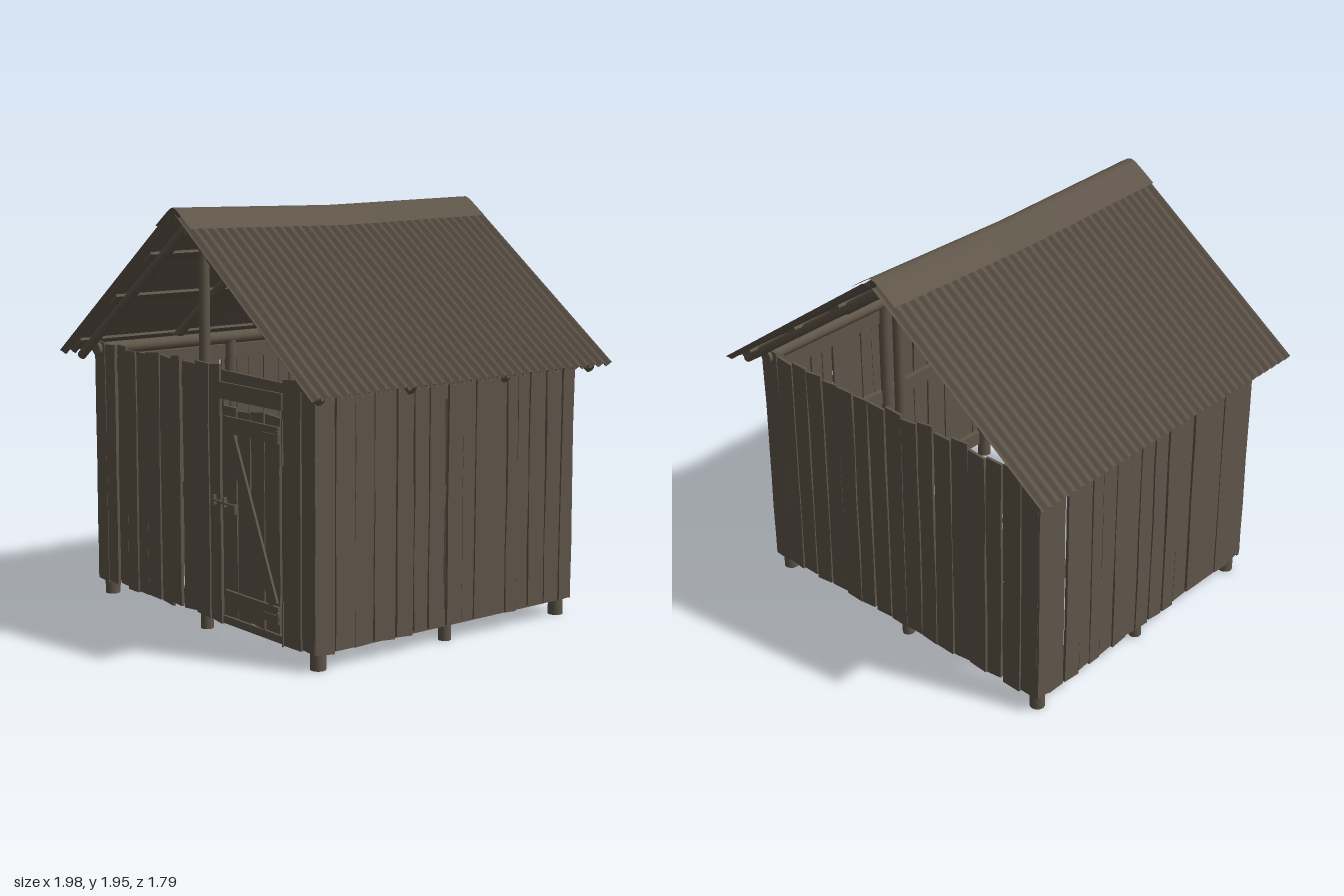
import * as THREE from 'three';

const wood = new THREE.MeshStandardMaterial({ color: 0x5f5549 });
wood.name = 'weathered wood';
const sheet = new THREE.MeshStandardMaterial({ color: 0x5f5549, side: THREE.DoubleSide });
sheet.name = 'weathered sheet metal';

let seed = 7;
const rand = (a) => {
  seed = (seed * 16807) % 2147483647;
  return (seed / 2147483647 * 2 - 1) * a;
};

function add(parent, name, geo, mat = wood) {
  const m = new THREE.Mesh(geo, mat);
  m.name = name;
  parent.add(m);
  return m;
}

function box(parent, name, w, h, d, x, y, z, rz = 0) {
  const m = add(parent, name, new THREE.BoxGeometry(w, h, d));
  m.position.set(x, y, z);
  m.rotation.z = rz;
  return m;
}

// Upright plank between x0 and x1 with slightly wavy edges and slanted ends
function plank(parent, name, x0, x1, y0, y1, z, thick = 0.014) {
  const w = x1 - x0, h = y1 - y0;
  const geo = new THREE.BoxGeometry(w, h, thick, 1, 4, 1);
  const p = geo.attributes.position;
  const slantTop = rand(0.006), slantLow = rand(0.006);
  const wave = [0, 1, 2, 3, 4].map(() => [rand(0.004), rand(0.004)]);
  for (let i = 0; i < p.count; i++) {
    const side = p.getX(i) > 0 ? 1 : 0;
    const row = Math.round((p.getY(i) / h + 0.5) * 4);
    p.setX(i, p.getX(i) + wave[row][side]);
    if (row === 4) p.setY(i, p.getY(i) + slantTop * (side * 2 - 1));
    if (row === 0) p.setY(i, p.getY(i) + slantLow * (side * 2 - 1));
  }
  geo.computeVertexNormals();
  add(parent, name, geo).position.set((x0 + x1) / 2, (y0 + y1) / 2, z);
}

// Round pole from a to b
function pole(parent, name, a, b, r0, r1 = r0, sides = 12) {
  const A = new THREE.Vector3(...a), B = new THREE.Vector3(...b);
  const dir = B.clone().sub(A);
  const m = add(parent, name, new THREE.CylinderGeometry(r1, r0, dir.length(), sides));
  m.position.copy(A).add(B).multiplyScalar(0.5);
  m.quaternion.setFromUnitVectors(new THREE.Vector3(0, 1, 0), dir.normalize());
}

// Wall built facing +z, then turned; planks are [left, right] pairs
function wall(parent, name, planks, top, dist, angle, rails) {
  const g = new THREE.Group();
  g.name = name;
  planks.forEach(([a, b], i) =>
    plank(g, 'wallPlank', a, b, 0.08 + rand(0.008), top + rand(0.014), dist + (i % 2) * 0.004));
  rails.forEach(([y, a, b]) => box(g, 'wallRail', b - a, 0.075, 0.028, (a + b) / 2, y, dist - 0.022));
  g.rotation.y = angle;
  parent.add(g);
  return g;
}

const roofY = (x, z) => 1.912 - 0.72 * Math.abs(x) + 0.014 * Math.abs(z) * (1 - Math.abs(x));

// Corrugated slope, side is -1 or 1
function roofSlope(parent, side) {
  const ribs = 34, geo = new THREE.PlaneGeometry(1, 1, 6, ribs * 8);
  const p = geo.attributes.position;
  for (let i = 0; i < p.count; i++) {
    const u = p.getX(i) + 0.5, v = p.getY(i) + 0.5;
    const x = side * (0.02 + u * 0.965), z = (0.5 - v) * 1.79;
    const wave = 0.012 * Math.cos(v * ribs * Math.PI * 2);
    p.setXYZ(i, x + side * wave * 0.58, roofY(x, z) + wave * 0.81, z);
  }
  if (side < 0) {
    const idx = geo.index.array;
    for (let i = 0; i < idx.length; i += 3) [idx[i], idx[i + 1]] = [idx[i + 1], idx[i]];
  }
  geo.computeVertexNormals();
  add(parent, 'corrugatedRoof', geo, sheet);
}

// Bent ridge cap that sags in the middle
function ridgeCap(parent) {
  const geo = new THREE.PlaneGeometry(0.28, 1.76, 12, 8);
  const p = geo.attributes.position;
  for (let i = 0; i < p.count; i++) {
    const x = p.getX(i), z = -p.getY(i);
    const y = 1.945 - 0.72 * Math.sqrt(x * x + 0.0004) + 0.018 * Math.abs(z);
    p.setXYZ(i, x - 0.01, y, z);
  }
  geo.computeVertexNormals();
  add(parent, 'ridgeCap', geo, sheet);
}

function buildDoor(parent) {
  const g = new THREE.Group();
  g.name = 'door';
  [[0.2, 0.3], [0.306, 0.402], [0.408, 0.505], [0.511, 0.615]].forEach(([a, b]) =>
    plank(g, 'doorPlank', a, b, 0.115, 1.07 + rand(0.012), 0.757));
  box(g, 'doorBatten', 0.4, 0.075, 0.014, 0.42, 0.995, 0.771);
  box(g, 'doorBatten', 0.4, 0.075, 0.014, 0.42, 0.2, 0.771);
  const dx = 0.32, dy = -0.72;
  box(g, 'doorBrace', Math.hypot(dx, dy), 0.06, 0.012, 0.42, 0.6, 0.77, Math.atan2(dy, dx));
  // Hinges on the right edge
  [0.99, 0.19].forEach((y) => {
    box(g, 'hingeStrap', 0.12, 0.022, 0.006, 0.575, y, 0.781);
    pole(g, 'hingePin', [0.625, y - 0.025, 0.782], [0.625, y + 0.025, 0.782], 0.008);
    box(g, 'hingePlate', 0.006, 0.2, 0.006, 0.655, y - 0.02, 0.779);
  });
  // Sliding latch
  pole(g, 'latchBolt', [0.14, 0.64, 0.782], [0.31, 0.635, 0.782], 0.007, 0.007, 8);
  [[0.145, 0.64], [0.225, 0.64], [0.305, 0.62]].forEach(([x, y]) =>
    box(g, 'latchStaple', 0.012, 0.045, 0.018, x, y, 0.777));
  parent.add(g);
}

export function createModel() {
  const shed = new THREE.Group();
  shed.name = 'shed';

  // Posts: corners, side middles, and tall gable posts
  for (const z of [-0.72, 0.72]) {
    for (const x of [-0.826, 0.826]) pole(shed, 'cornerPost', [x, 0, z], [x, 1.22, z], 0.036, 0.034);
    pole(shed, 'gablePost', [-0.005, 0, z], [0, 1.87, z], 0.03, 0.024);
  }
  for (const x of [-0.826, 0.826]) pole(shed, 'sidePost', [x, 0, -0.01], [x, 1.22, -0.01], 0.03);

  // Front wall with the door opening
  const front = wall(shed, 'frontWall', [
    [-0.87, -0.78], [-0.77, -0.685], [-0.665, -0.592], [-0.588, -0.502], [-0.498, -0.415], [-0.41, -0.303],
    [-0.298, -0.205], [-0.2, -0.13], [-0.108, -0.005], [0, 0.098], [0.102, 0.182], [0.65, 0.775], [0.78, 0.87],
  ], 1.25, 0.764, 0, [[0.13, -0.83, 0.19], [0.64, -0.83, 0.19], [1.16, -0.83, 0.83], [0.64, 0.66, 0.83]]);
  box(front, 'doorHeader', 0.46, 0.075, 0.016, 0.42, 1.145, 0.772);
  box(front, 'headerPlank', 0.46, 0.06, 0.014, 0.42, 1.2, 0.76, -0.02);
  box(front, 'doorJamb', 0.04, 1.1, 0.03, 0.64, 0.64, 0.74);
  box(front, 'doorJamb', 0.04, 1.1, 0.03, 0.17, 0.64, 0.74);
  box(front, 'doorSill', 0.46, 0.035, 0.016, 0.42, 0.092, 0.758);
  buildDoor(front);

  // Back wall
  const back = [];
  for (let i = 0; i < 17; i++) {
    const a = -0.87 + i * 1.74 / 17;
    back.push([a, a + 1.74 / 17 - (i % 4 === 2 ? 0.014 : 0.004)]);
  }
  wall(shed, 'backWall', back, 1.245, 0.764, Math.PI,
    [[0.13, -0.83, 0.83], [0.66, -0.83, 0.83], [1.16, -0.83, 0.83]]);

  // Side walls, mirrored
  const side = [
    [-0.77, -0.665], [-0.66, -0.555], [-0.55, -0.447], [-0.443, -0.327], [-0.313, -0.222], [-0.218, -0.137],
    [-0.126, -0.037], [-0.02, 0.068], [0.073, 0.143], [0.148, 0.243], [0.248, 0.338], [0.343, 0.408],
    [0.412, 0.482], [0.486, 0.582], [0.596, 0.69], [0.694, 0.77],
  ];
  const sideRails = [[0.11, -0.73, 0.73], [0.68, -0.73, 0.73], [1.15, -0.73, 0.73]];
  wall(shed, 'leftWall', side, 1.215, 0.864, Math.PI / 2, sideRails);
  wall(shed, 'rightWall', side.map(([a, b]) => [-b, -a]), 1.215, 0.864, -Math.PI / 2, sideRails);

  // Roof frame: wall plates, ridge pole, rafters and battens
  pole(shed, 'ridgePole', [0, 1.85, -0.82], [0, 1.85, 0.82], 0.025);
  for (const s of [-1, 1]) {
    pole(shed, 'wallPlate', [s * 0.826, 1.225, -0.79], [s * 0.826, 1.225, 0.79], 0.032);
    for (const z of [-0.8, -0.26, 0.3, 0.8])
      pole(shed, 'rafter', [0, 1.865, z], [s * 0.945, 1.185, z], 0.024, 0.022);
    for (const x of [0.25, 0.55, 0.88])
      box(shed, 'batten', 0.07, 0.014, 1.72, s * x, roofY(x, 0) - 0.022, 0, -s * 0.624);
    roofSlope(shed, s);
  }
  ridgeCap(shed);

  return shed;
}
